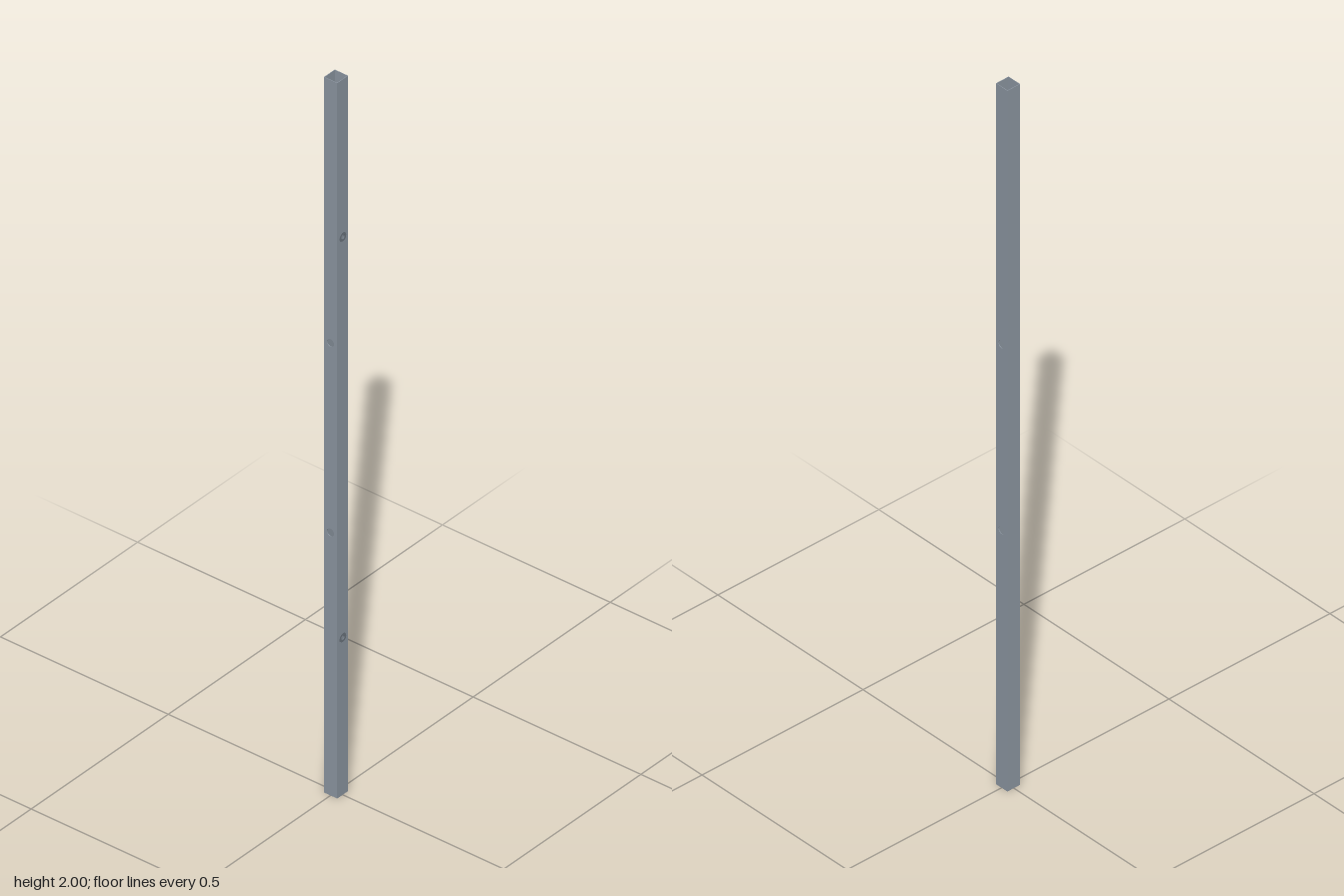
import * as THREE from 'three';

const SIDE = 0.04, HEIGHT = 2, WALL = 0.0016, HOLE = 0.0105;
const CROSS_HOLES = [0.735, 1.265]; // drilled through front and back
const INSERT_HOLES = [0.44, 1.56];  // drilled through the +x wall only

const steel = new THREE.MeshStandardMaterial({ color: 0x8c96a1, side: THREE.DoubleSide });
const darkSteel = new THREE.MeshStandardMaterial({ color: 0x6c757e, side: THREE.DoubleSide });

function add(parent, name, geometry, material) {
  const mesh = new THREE.Mesh(geometry, material);
  mesh.name = name;
  parent.add(mesh);
  return mesh;
}

// Flat wall plate with round holes, its outer face at SIDE / 2 along +z
function wallGeometry(width, holes) {
  const w = width / 2;
  const shape = new THREE.Shape([
    new THREE.Vector2(-w, 0), new THREE.Vector2(w, 0),
    new THREE.Vector2(w, HEIGHT), new THREE.Vector2(-w, HEIGHT),
  ]);
  for (const y of holes) {
    shape.holes.push(new THREE.Path().absarc(0, y, HOLE, 0, Math.PI * 2, true));
  }
  const geometry = new THREE.ExtrudeGeometry(shape, { depth: WALL, bevelEnabled: false, curveSegments: 16 });
  return geometry.translate(0, 0, SIDE / 2 - WALL);
}

// Flat ring with a bore, extruded along +z
function ringGeometry(outer, inner, depth) {
  const shape = new THREE.Shape().absarc(0, 0, outer, 0, Math.PI * 2, false);
  shape.holes.push(new THREE.Path().absarc(0, 0, inner, 0, Math.PI * 2, true));
  return new THREE.ExtrudeGeometry(shape, { depth, bevelEnabled: false, curveSegments: 16 });
}

export function createModel() {
  const model = new THREE.Group();
  model.name = 'squareTube';

  // Four walls of the open-ended tube
  const inner = SIDE - 2 * WALL;
  add(model, 'frontWall', wallGeometry(SIDE, CROSS_HOLES), steel);
  add(model, 'backWall', wallGeometry(SIDE, CROSS_HOLES), steel).rotation.y = Math.PI;
  add(model, 'leftWall', wallGeometry(inner, INSERT_HOLES), steel).rotation.y = Math.PI / 2;
  add(model, 'rightWall', wallGeometry(inner, []), steel).rotation.y = -Math.PI / 2;

  // Round inner plug and a bored, flanged insert in each side hole
  for (const y of INSERT_HOLES) {
    const insert = new THREE.Group();
    insert.name = 'sideInsert';
    insert.position.y = y;
    add(insert, 'plug', new THREE.CylinderGeometry(0.018, 0.018, 0.024, 32), steel);
    add(insert, 'hub', new THREE.CylinderGeometry(0.009, 0.009, 0.03, 24), darkSteel);
    const sleeve = add(insert, 'sleeve', ringGeometry(HOLE, 0.006, 0.008), darkSteel);
    const flange = add(insert, 'flange', ringGeometry(0.012, 0.006, 0.0008), darkSteel);
    sleeve.rotation.y = flange.rotation.y = Math.PI / 2;
    sleeve.position.x = 0.012;
    flange.position.x = SIDE / 2;
    model.add(insert);
  }
  return model;
}
